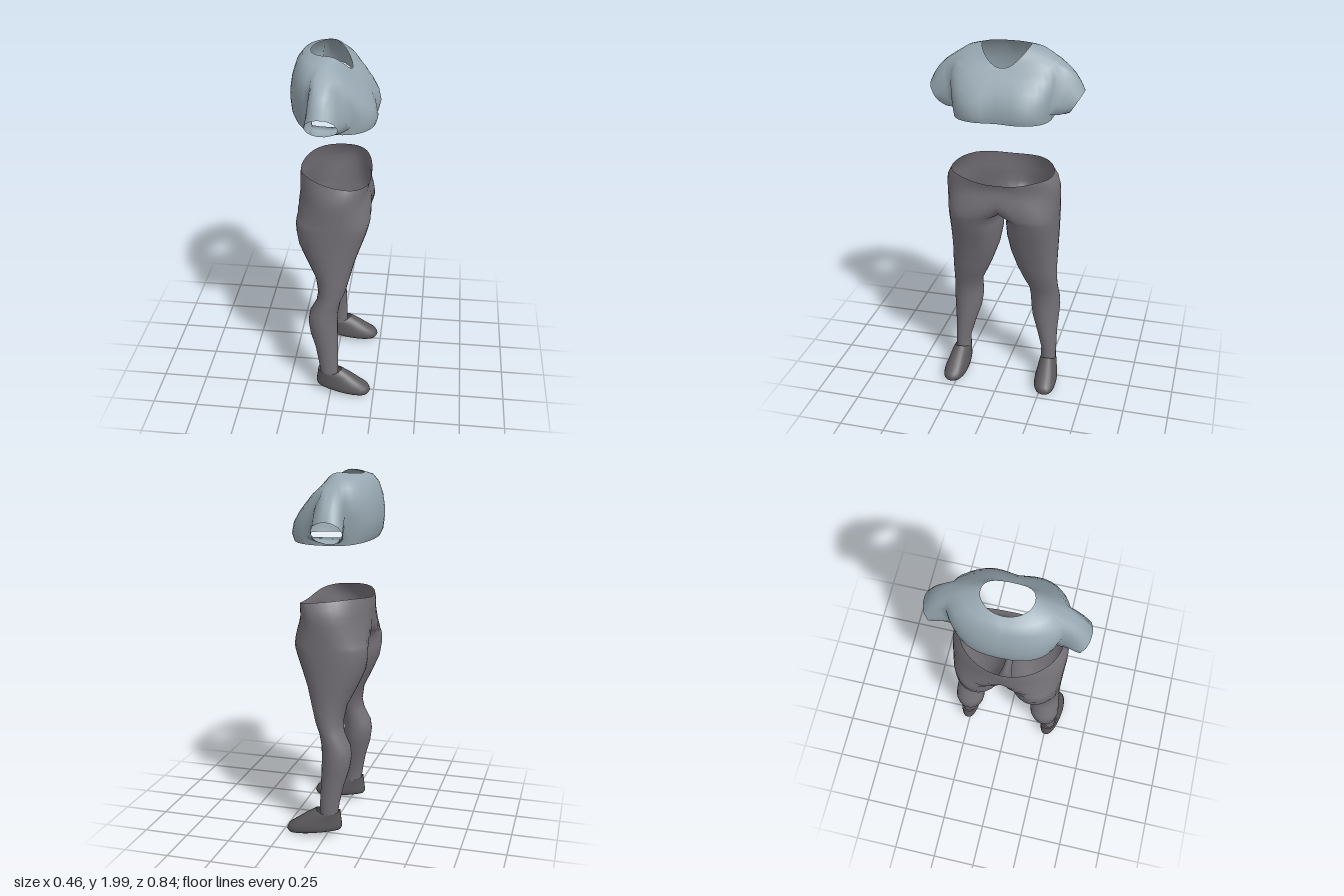
import * as THREE from 'three';
import { mergeVertices } from 'three/addons/utils/BufferGeometryUtils.js';

const V = (x, y, z) => new THREE.Vector3(x, y, z);
const lerp = THREE.MathUtils.lerp;
const power = (v, e) => Math.sign(v) * Math.abs(v) ** e;

// Triangles between stacked rows of points; skip(r, j) leaves a hole.
function loft(tris, rows, closed, skip = () => false) {
  for (let r = 0; r < rows.length - 1; r++) {
    const n = rows[r].length;
    for (let j = 0; j < (closed ? n : n - 1); j++) {
      if (skip(r, j)) continue;
      const k = (j + 1) % n;
      const [a, b, c, d] = [rows[r][j], rows[r][k], rows[r + 1][k], rows[r + 1][j]];
      tris.push([a, b, c], [a, c, d]);
    }
  }
}

// The same triangles on the other side of the z = 0 plane.
const mirrored = tris => tris.map(([a, b, c]) => [a, c, b].map(p => V(p.x, p.y, -p.z)));

// One welded smooth mesh.
function mesh(name, tris, material) {
  const g = new THREE.BufferGeometry().setFromPoints(tris.flat());
  const welded = mergeVertices(g, 1e-4);
  welded.computeVertexNormals();
  const m = new THREE.Mesh(welded, material);
  m.name = name;
  return m;
}

// Leggings: two legs that grow together into an open waist.
function leggingsTriangles() {
  const OUT = 20, IN = 8, tris = [];
  // Oval whose front half is squarer (e < 1) and whose widest place is at xm
  const point = (xb, xm, xf, zc, rz, y, a, e) => {
    const s = Math.sin(a), c = Math.cos(a), front = s > 0;
    return V(xm + (front ? (xf - xm) * s ** e : (xm - xb) * s), y, zc + rz * (front ? power(c, e) : c));
  };
  // y, back x, front x, inner z, outer z, front squareness
  const legs = [
    [0.13, -0.06, 0.04, 0.217, 0.303, 1], [0.2, -0.07, 0.04, 0.218, 0.305, 1],
    [0.3, -0.09, 0.038, 0.19, 0.305, 1], [0.4, -0.12, 0.036, 0.157, 0.312, 1],
    [0.47, -0.13, 0.035, 0.147, 0.316, 1], [0.53, -0.122, 0.037, 0.145, 0.313, 1],
    [0.6, -0.085, 0.05, 0.14, 0.306, 0.95], [0.66, -0.076, 0.075, 0.113, 0.303, 0.9],
    [0.75, -0.092, 0.1, 0.073, 0.302, 0.86], [0.85, -0.143, 0.126, 0.037, 0.303, 0.82],
    [0.95, -0.188, 0.16, 0.018, 0.305, 0.8], [1.02, -0.2, 0.184, 0.016, 0.307, 0.8],
    [1.07, -0.2, 0.197, 0.021, 0.309, 0.8],
  ].map(([y, xb, xf, zi, zo, e]) => {
    const A = 2.5, ring = [];
    for (let i = 0; i < OUT + IN; i++) {
      const a = i <= OUT ? lerp(-A, A, i / OUT) : lerp(A, 2 * Math.PI - A, (i - OUT) / IN);
      ring.push(point(xb, (xb + xf) / 2, xf, (zi + zo) / 2, (zo - zi) / 2, y, a, e));
    }
    return ring;
  });
  // y, back x, widest x, front x, centre z, outer z, front lowering, middle dip
  const hips = [
    [1.093, -0.199, 0.004, 0.203, 0.143, 0.31, 0, 0], [1.125, -0.197, 0.008, 0.204, 0.11, 0.311, 0, 0],
    [1.165, -0.194, 0.014, 0.2, 0.072, 0.313, 0, 0], [1.21, -0.191, 0.022, 0.191, 0.038, 0.315, 0.002, 0],
    [1.25, -0.19, 0.033, 0.185, 0.018, 0.315, 0.005, 0.005], [1.295, -0.194, 0.048, 0.188, 0.005, 0.305, 0.014, 0.015],
    [1.334, -0.19, 0.06, 0.194, 0, 0.282, 0.022, 0.025],
  ].map(([y, xb, xm, xf, zc, zo, tilt, dip]) => {
    const e = 0.8, rz = zo - zc, arc = [];
    const start = -Math.acos(-zc / rz), end = Math.acos(-((zc / rz) ** (1 / e)));
    for (let i = 0; i <= OUT; i++) {
      const a = lerp(start, end, i / OUT), s = Math.sin(a);
      const p = point(xb, xm, xf, zc, rz, y - tilt * s - dip * s ** 6, a, e);
      if (i === 0 || i === OUT) p.z = 0;
      arc.push(p);
    }
    return arc;
  });
  // The crotch line closes the lowest hip row into a full ring.
  const crotch = [...hips[0]];
  for (let i = 1; i < IN; i++) {
    const p = crotch[OUT].clone().lerp(crotch[0], i / IN);
    p.y -= 0.008 * Math.sin(Math.PI * i / IN);
    crotch.push(p);
  }
  loft(tris, [...legs, crotch], true);
  loft(tris, hips, false);
  return [...tris, ...mirrored(tris)];
}

// Cropped top: torso shell with armholes, sleeves grown from their edges.
function topTriangles() {
  const N = 20, J0 = 8, J1 = 12, R0 = 1, R1 = 5, tris = [];
  // back y, side y, front y, back x, front x, side z, chest dip, back and front squareness
  const rows = [
    [1.65, 1.635, 1.642, -0.205, 0.228, 0.264, 0.018, 0.8, 0.7], [1.69, 1.68, 1.68, -0.225, 0.24, 0.268, 0.025, 0.8, 0.68],
    [1.75, 1.74, 1.74, -0.232, 0.226, 0.28, 0.022, 0.82, 0.68], [1.81, 1.8, 1.79, -0.232, 0.195, 0.292, 0.014, 0.86, 0.7],
    [1.875, 1.865, 1.83, -0.222, 0.162, 0.3, 0.006, 0.92, 0.76], [1.94, 1.93, 1.862, -0.202, 0.13, 0.286, 0, 1, 0.84],
    [1.98, 1.974, 1.886, -0.172, 0.103, 0.218, 0, 1, 1], [1.992, 2, 1.9, -0.13, 0.085, 0.13, 0, 1, 1],
  ].map(([yb, ys, yf, xb, xf, rz, dip, eb, ef]) => {
    const row = [];
    for (let j = 0; j <= N; j++) {
      const a = Math.PI * (j / N - 0.5), s = Math.sin(a), e = s > 0 ? ef : eb;
      const z = j % N ? rz * Math.cos(a) ** e : 0;
      const cut = s > 0 ? dip * Math.exp(-((z / 0.08) ** 2)) : 0;
      const mid = lerp(xb, xf, 0.47);
      const x = mid + power(s, e) * (s > 0 ? xf - mid : mid - xb) - cut;
      row.push(V(x, lerp(ys, s > 0 ? yf : yb, s * s), z));
    }
    return row;
  });
  loft(tris, rows, false, (r, j) => r >= R0 && r < R1 && j >= J0 && j < J1);

  // Armhole edge: over the shoulder, down the front, under the arm, up the back.
  const edge = [];
  for (let j = J0; j < J1; j++) edge.push(rows[R1][j]);
  for (let r = R1; r > R0; r--) edge.push(rows[r][J1]);
  for (let j = J1; j > J0; j--) edge.push(rows[R0][j]);
  for (let r = R0; r < R1; r++) edge.push(rows[r][J0]);
  const sleeve = [0, 0.25, 0.5, 0.75, 1].map(t => edge.map(p => {
    if (t === 0) return p;
    const a = Math.atan2((p.y - 1.8) / 0.12, (p.x + 0.025) / 0.1);
    const cuff = V(-0.035 + 0.085 * Math.cos(a), 1.715 + 0.06 * Math.sin(a), 0.38 + 0.038 * Math.sin(a));
    const q = p.clone().lerp(cuff, t), swell = 0.014 * Math.sin(Math.PI * t) * Math.sin(a);
    return q.add(V(0, swell, Math.max(swell, 0)));
  }));
  loft(tris, sleeve.reverse(), true);
  return [...tris, ...mirrored(tris)];
}

// Shoe: rings from the closed sole up to the open collar.
function shoeTriangles() {
  const N = 28, tris = [];
  // back x, front x, back y, front y, heel half width, toe half width
  const rows = [
    [0.05, 0.051, 0.024, 0.024, 0, 0], [-0.06, 0.195, 0.043, 0.009, 0.038, 0.056],
    [-0.078, 0.218, 0.05, 0.014, 0.05, 0.07], [-0.085, 0.23, 0.066, 0.032, 0.054, 0.074],
    [-0.083, 0.218, 0.085, 0.058, 0.053, 0.07], [-0.08, 0.175, 0.105, 0.088, 0.05, 0.06],
    [-0.077, 0.12, 0.128, 0.126, 0.048, 0.05], [-0.073, 0.062, 0.158, 0.163, 0.046, 0.043],
  ].map(([xb, xf, yb, yf, wb, wf]) => Array.from({ length: N }, (_, i) => {
    const a = i / N * 2 * Math.PI, t = (1 + Math.sin(a)) / 2, c = Math.cos(a);
    const x = lerp(xb, xf, t);
    const w = lerp(wb, wf, t) * power(c, 0.8);
    const sag = yf > 0.16 ? 0.02 * c * c : 0;
    return V(x, lerp(yb, yf, t) - sag, 0.262 + 0.06 * (x + 0.03) + w);
  }));
  loft(tris, rows, true);
  return tris;
}

export function createModel() {
  const material = (name, color) => {
    const m = new THREE.MeshStandardMaterial({ color, side: THREE.DoubleSide });
    m.name = name;
    return m;
  };
  const blue = material('pale blue grey cloth', 0x98a8b2);
  const grey = material('grey cloth', 0x757278);
  const dark = material('dark shoe', 0x5a585b);

  const group = new THREE.Group();
  group.name = 'outfit';
  const shoe = shoeTriangles();
  group.add(
    mesh('croppedTop', topTriangles(), blue),
    mesh('leggings', leggingsTriangles(), grey),
    mesh('frontShoe', shoe, dark),
    mesh('backShoe', mirrored(shoe), dark),
  );
  return group;
}
